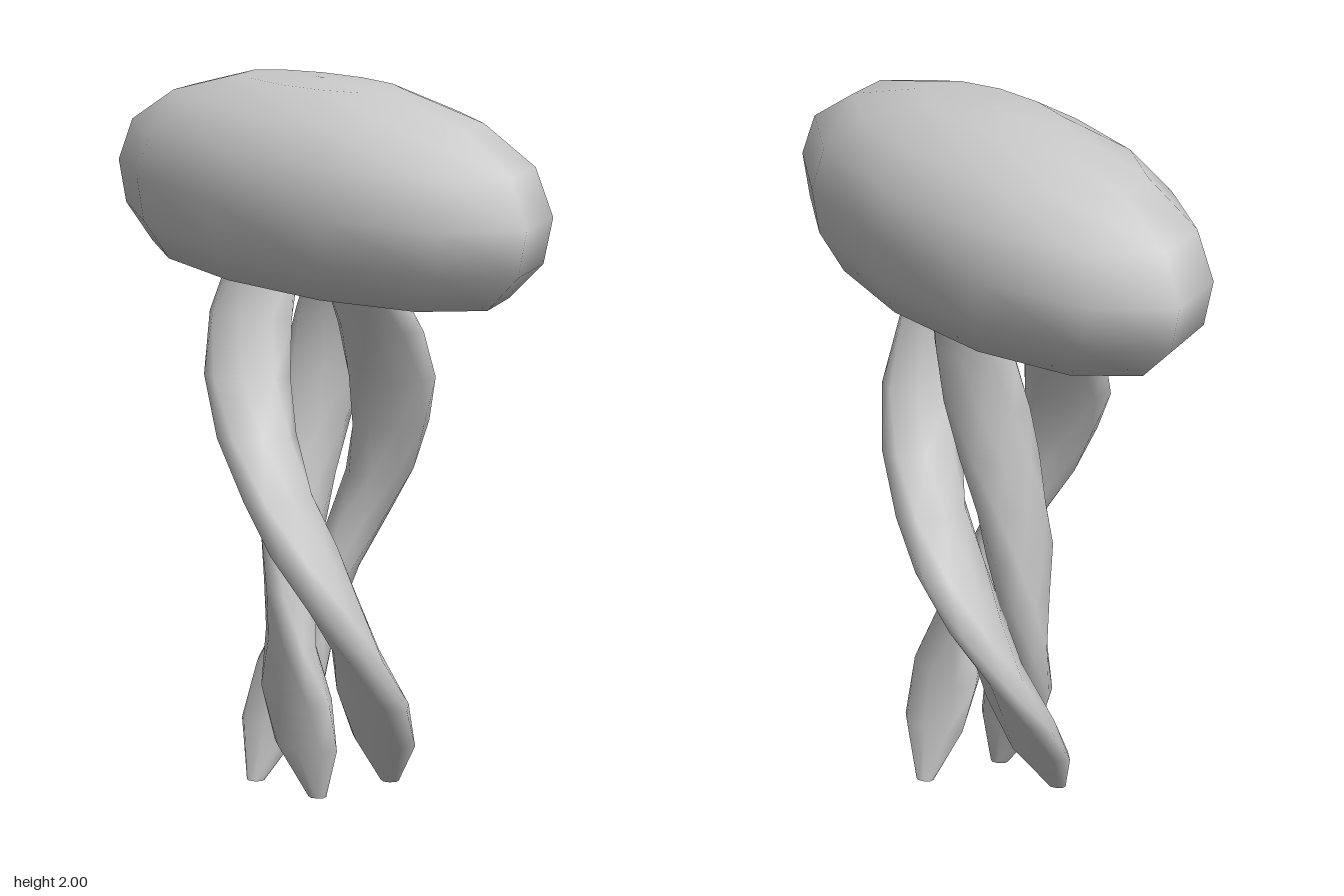
import * as THREE from 'three';
import { mergeVertices } from 'three/addons/utils/BufferGeometryUtils.js';

const STEP = 0.15; // height of one tentacle segment

// Tentacle distance from the axis, half-width and half-thickness at each step, from the tip upwards
const SECTIONS = [
  [0.19, 0.025, 0.014], [0.17, 0.1, 0.05], [0.16, 0.15, 0.06], [0.165, 0.142, 0.064],
  [0.177, 0.135, 0.072], [0.19, 0.12, 0.077], [0.195, 0.11, 0.077], [0.195, 0.11, 0.076],
  [0.195, 0.118, 0.073], [0.19, 0.13, 0.068], [0.18, 0.136, 0.066], [0.18, 0.136, 0.066],
];

// side: -1, 0 or 1 along the wide axis; depth: offset across it
function createTentacle(side, depth, material) {
  const steps = SECTIONS.length - 1;
  let geometry = new THREE.CylinderGeometry(1, 1, steps * STEP, 8, steps);
  geometry.translate(0, steps * STEP / 2, 0);
  geometry.deleteAttribute('uv');
  geometry.deleteAttribute('normal');
  geometry = mergeVertices(geometry, 1e-3);

  // Place a flattened section off the axis, then twist it about the axis
  const p = geometry.attributes.position;
  for (let i = 0; i < p.count; i++) {
    const y = p.getY(i);
    const [distance, width, thickness] = SECTIONS[Math.round(y / STEP)];
    const x = side * distance + width * p.getX(i);
    const z = depth + thickness * p.getZ(i);
    const twist = THREE.MathUtils.degToRad(-2 - 150 * (1.5 - y));
    const c = Math.cos(twist), s = Math.sin(twist);
    p.setXYZ(i, x * c - z * s, y, x * s + z * c);
  }
  geometry.computeVertexNormals();
  const mesh = new THREE.Mesh(geometry, material);
  mesh.name = 'tentacle';
  return mesh;
}

function createCap(material) {
  // Hollow underside, rounded rim and domed top
  const profile = [
    [0, 1.57], [0.3, 1.56], [0.6, 1.52], [0.83, 1.49], [0.965, 1.59], [1, 1.71],
    [0.925, 1.83], [0.71, 1.925], [0.37, 1.99], [0, 2],
  ].map(([r, y]) => new THREE.Vector2(r, y));
  const geometry = new THREE.LatheGeometry(profile, 12);
  geometry.scale(0.845, 1, 0.363);
  const mesh = new THREE.Mesh(geometry, material);
  mesh.name = 'cap';
  return mesh;
}

export function createModel() {
  const group = new THREE.Group();
  group.name = 'jellyfish';
  const material = new THREE.MeshStandardMaterial({ color: 0xcccccc });
  group.add(createCap(material));
  for (const [side, depth] of [[-1, 0.055], [0, -0.088], [1, 0.015]]) {
    group.add(createTentacle(side, depth, material));
  }
  return group;
}
